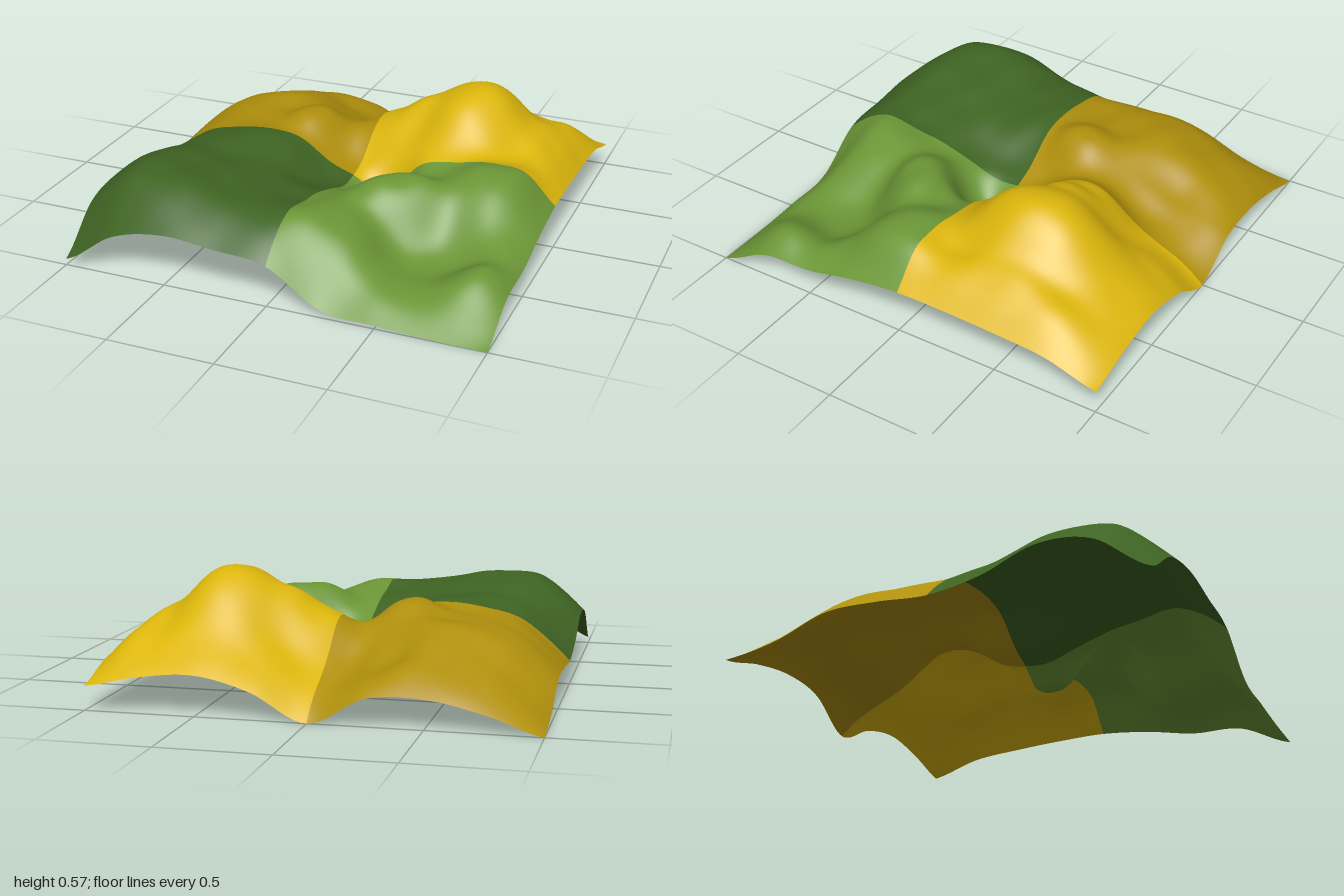
import * as THREE from 'three';

// Height profiles along the four edges, evenly spaced from -1 to 1
const BACK = [0.01, 0.09, 0.14, 0.13, 0.01, 0.13, 0.19, 0.17, 0.12];
const FRONT = [0.04, 0.2, 0.255, 0.235, 0.205, 0.045, 0.025, 0.012, 0.01];
const RIGHT = [0.01, 0.05, 0.14, 0.14, 0.12, 0.16, 0.25, 0.22, 0.04]; // x = -1
const LEFT = [0.12, 0.19, 0.21, 0.22, 0.22, 0.19, 0.14, 0.125, 0.01]; // x = +1

// Landforms: centre, radii and height (negative for hollows)
const LANDFORMS = [
  { x: 0.47, z: -0.42, rx: 0.27, rz: 0.32, h: 0.23 }, // main hill
  { x: 0.1, z: -0.41, rx: 0.16, rz: 0.22, h: 0.11 }, // hill terrace
  { x: 0.88, z: -0.42, rx: 0.12, rz: 0.48, h: 0.06 }, // hill shoulder
  { x: -0.28, z: -0.2, rx: 0.13, rz: 0.14, h: 0.055 }, // spur
  { x: -0.5, z: -0.22, rx: 0.22, rz: 0.25, h: -0.03 }, // back flat
  { x: -0.22, z: -0.65, rx: 0.17, rz: 0.25, h: -0.075 }, // back gully
  { x: -0.03, z: 0.06, rx: 0.22, rz: 0.26, h: -0.1 }, // central shelf
  { x: 0.17, z: 0.08, rx: 0.14, rz: 0.14, h: -0.13 }, // central pit
  { x: -0.29, z: 0.53, rx: 0.46, rz: 0.36, h: -0.11 }, // plateau slope
  { x: 0.36, z: 0.33, rx: 0.2, rz: 0.16, h: 0.11 }, // inner crest
  { x: 0.76, z: 0.14, rx: 0.21, rz: 0.2, h: 0.1 }, // outer crest
  { x: 0.58, z: 0.62, rx: 0.25, rz: 0.26, h: -0.15 }, // front hollow
  { x: 0.2, z: 0.66, rx: 0.17, rz: 0.28, h: 0.05 }, // front ridge
  { x: 0.85, z: 0.72, rx: 0.2, rz: 0.12, h: 0.04 }, // front lip
];

// Smooth curve through an edge profile
function edge(values, t) {
  const p = THREE.MathUtils.clamp((t + 1) / 2, 0, 1) * (values.length - 1);
  const i = Math.min(Math.floor(p), values.length - 2);
  const at = (k) => values[THREE.MathUtils.clamp(k, 0, values.length - 1)];
  const a = at(i - 1), b = at(i), c = at(i + 1), d = at(i + 2), u = p - i;
  return b + 0.5 * u * (c - a + u * (2 * a - 5 * b + 4 * c - d + u * (3 * (b - c) + d - a)));
}

// Sheet stretched between the four edges, raised inside and shaped by the landforms
function height(x, z) {
  const { lerp } = THREE.MathUtils;
  const u = (x + 1) / 2, v = (z + 1) / 2;
  const corners = lerp(lerp(BACK[0], BACK[8], u), lerp(FRONT[0], FRONT[8], u), v);
  const sheet = lerp(edge(RIGHT, z), edge(LEFT, z), u) + lerp(edge(BACK, x), edge(FRONT, x), v) - corners;
  let rise = 0.08;
  for (const f of LANDFORMS) {
    const d = Math.hypot((x - f.x) / f.rx, (z - f.z) / f.rz);
    rise += f.h * Math.exp(-(d ** 3));
  }
  // Faint weathered ripple
  rise += 0.002 * (Math.sin(23 * x + 9 * z) + Math.sin(27 * z - 13 * x + 1));
  return Math.max(0, sheet + rise * (1 - x ** 10) * (1 - z ** 10));
}

// One square quarter of the sheet; normals follow the whole surface so seams stay smooth
function quarter(name, cx, cz, material) {
  const geometry = new THREE.PlaneGeometry(1, 1, 48, 48);
  geometry.rotateX(-Math.PI / 2);
  geometry.translate(cx, 0, cz);
  const pos = geometry.attributes.position;
  const nor = geometry.attributes.normal;
  const n = new THREE.Vector3();
  const e = 0.01;
  for (let i = 0; i < pos.count; i++) {
    const x = pos.getX(i), z = pos.getZ(i);
    pos.setY(i, height(x, z));
    // Keep the sample points on the sheet
    const x0 = Math.max(-1, x - e), x1 = Math.min(1, x + e);
    const z0 = Math.max(-1, z - e), z1 = Math.min(1, z + e);
    n.set((height(x0, z) - height(x1, z)) / (x1 - x0), 1, (height(x, z0) - height(x, z1)) / (z1 - z0)).normalize();
    nor.setXYZ(i, n.x, n.y, n.z);
  }
  const mesh = new THREE.Mesh(geometry, material);
  mesh.name = name;
  return mesh;
}

function paint(name, color) {
  const material = new THREE.MeshStandardMaterial({ color, side: THREE.DoubleSide });
  material.name = name;
  return material;
}

export function createModel() {
  const group = new THREE.Group();
  group.name = 'terrainSheet';
  group.add(
    quarter('backRightGround', -0.5, -0.5, paint('dark gold', 0xaf8f0c)),
    quarter('backLeftHill', 0.5, -0.5, paint('bright yellow', 0xdcb60c)),
    quarter('frontRightPlateau', -0.5, 0.5, paint('dark green', 0x3e6322)),
    quarter('frontLeftValley', 0.5, 0.5, paint('light green', 0x6b9636)),
  );
  return group;
}
